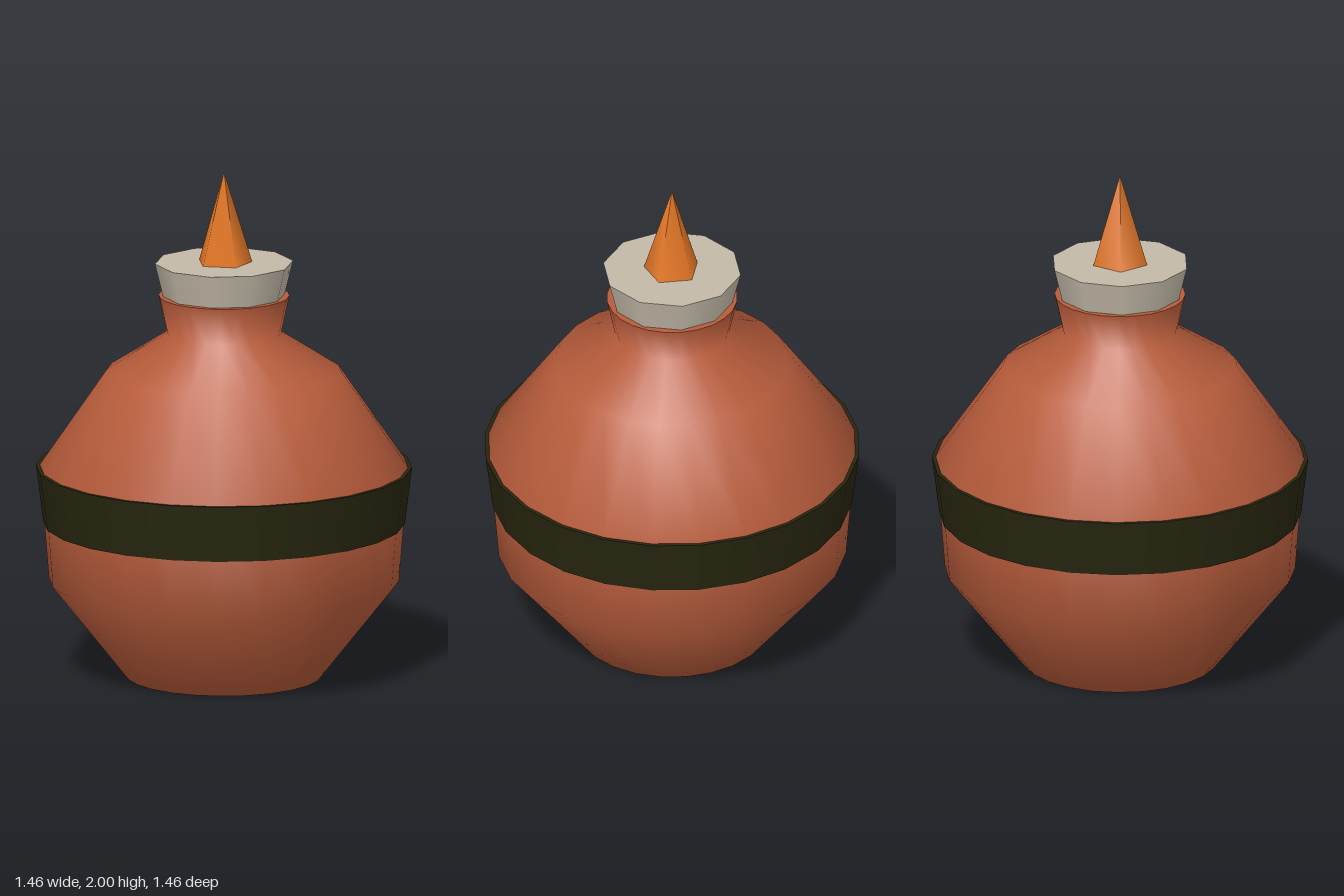
import * as THREE from 'three';

const material = (name, color) => {
  const m = new THREE.MeshStandardMaterial({ color });
  m.name = name;
  return m;
};

const clay = material('terracotta', 0xb85c3b);
const dark = material('dark band', 0x27250f);
const stone = material('pale stopper', 0xc2b9a8);
const orange = material('orange spike', 0xe27624);

// Lathe from [radius, height] pairs; a repeated pair makes a sharp edge
const lathe = (pairs, sides) =>
  new THREE.LatheGeometry(pairs.map(([r, y]) => new THREE.Vector2(r, y)), sides);

export function createModel() {
  const model = new THREE.Group();
  model.name = 'stopperedFlask';
  const add = (name, geometry, mat, y = 0) => {
    const mesh = new THREE.Mesh(geometry, mat);
    mesh.name = name;
    mesh.position.y = y;
    model.add(mesh);
  };

  // Round belly, sloping shoulder and flared neck with a flat lip
  add('body', lathe([
    [0, 0], [0.38, 0], [0.68, 0.38], [0.715, 0.83], [0.455, 1.21],
    [0.222, 1.36], [0.254, 1.51], [0.254, 1.51], [0, 1.51],
  ], 24), clay);

  // Band around the widest part, with thin top and bottom edges
  add('band', lathe([
    [0.685, 0.607], [0.702, 0.607], [0.702, 0.607],
    [0.73, 0.83], [0.73, 0.83], [0.7, 0.83],
  ], 24), dark);

  // Ten-sided stopper
  add('stopper', new THREE.CylinderGeometry(0.27, 0.238, 0.13, 10), stone, 1.575);

  // Five-sided spike
  add('spike', new THREE.ConeGeometry(0.11, 0.36, 5), orange, 1.82);

  return model;
}
